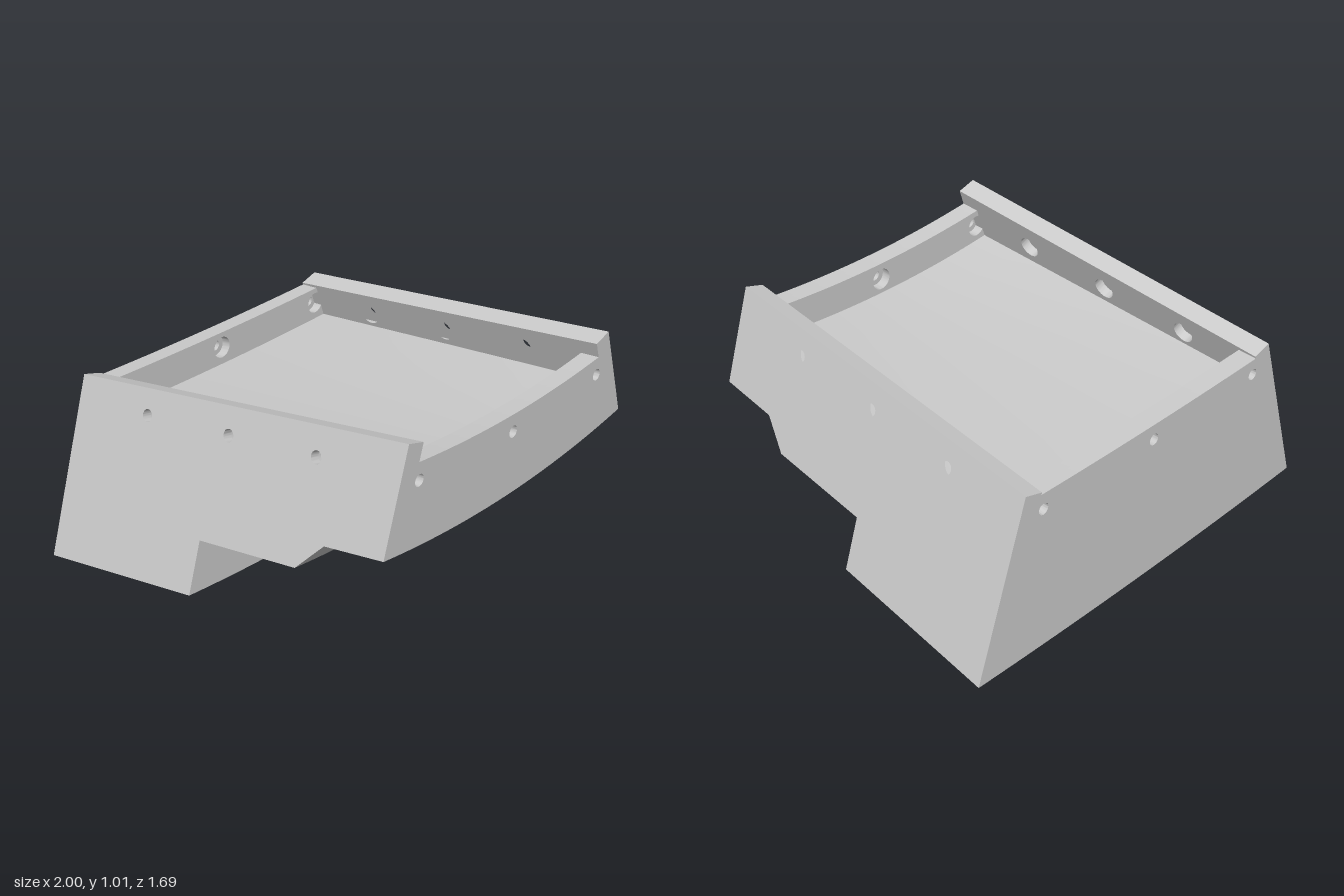
import * as THREE from 'three';
import { toCreasedNormals } from 'three/addons/utils/BufferGeometryUtils.js';

const END = 0.845;          // half length
const WALL = 0.088;         // wall thickness
const BORE = 0.044;         // depth of the wider inner bore
const N = 32;               // segments across a curved section
const lerp = THREE.MathUtils.lerp;
const along = (z, back, front) => lerp(back, front, (z + END) / (2 * END));

// Leaning side plane, crosswise curvature and height of the tray floor
const sideX = (y) => 1 - 0.3265 * (y - 0.02);
const bend = (z) => along(z, 0.02, 0.097);
const floorMid = (z) => along(z, 0.6, 0.72);

// Half width at which a curved section meets the side plane
function halfWidth(mid, k) {
  let x = 0.8;
  for (let i = 0; i < 12; i++) x = sideX(mid + k * x * x);
  return x;
}

function makeMesh(name, geometry, material) {
  const mesh = new THREE.Mesh(toCreasedNormals(geometry, 0.45), material);
  mesh.name = name;
  return mesh;
}

// Stepped body: closed sections lofted from back to front
function bodyGeometry() {
  const stations = [
    [-END, 0], [-0.045, 0.075], [-0.045, 0.31],
    [0.45, 0.355], [0.565, 0.48], [END, 0.51],
  ];
  const M = 2 * (N + 1);
  const pos = [], idx = [];
  for (const [z, bottom] of stations) {
    for (const [mid, dir] of [[bottom, 1], [floorMid(z), -1]]) {
      const w = halfWidth(mid, bend(z));
      for (let j = 0; j <= N; j++) {
        const x = dir * w * (2 * j / N - 1);
        pos.push(x, mid + bend(z) * x * x, z);
      }
    }
  }
  for (let i = 0; i < stations.length - 1; i++) {
    for (let j = 0; j < M; j++) {
      const a = i * M + j, b = i * M + (j + 1) % M;
      idx.push(a, b, b + M, a, b + M, a + M);
    }
  }
  const last = (stations.length - 1) * M;
  for (let j = 0; j < N; j++) {
    const p = j, q = j + 1, r = M - 2 - j, s = M - 1 - j;
    idx.push(last + p, last + q, last + r, last + p, last + r, last + s);
    idx.push(p, r, q, p, s, r);
  }
  const g = new THREE.BufferGeometry();
  g.setAttribute('position', new THREE.Float32BufferAttribute(pos, 3));
  g.setIndex(idx);
  g.computeVertexNormals();
  return g;
}

// Wall in two layers: narrow holes outside, wider bores inside.
// place(u, v, w) maps the flat panel to space; w runs from 0 inward to -WALL.
function wall(name, outline, holes, place, material) {
  const group = new THREE.Group();
  group.name = name;
  const layers = [
    ['outerLayer', 0.026, WALL - BORE, 0],
    ['boredInnerLayer', 0.05, BORE, -(WALL - BORE)],
  ];
  for (const [part, radius, depth, top] of layers) {
    const shape = new THREE.Shape(outline.map(([u, v]) => new THREE.Vector2(u, v)));
    for (const [u, v] of holes) {
      shape.holes.push(new THREE.Path().absarc(u, v, radius, 0, Math.PI * 2, true));
    }
    const g = new THREE.ExtrudeGeometry(shape, { depth, bevelEnabled: false, curveSegments: 24 });
    const p = g.attributes.position;
    for (let i = 0; i < p.count; i++) {
      p.setXYZ(i, ...place(p.getX(i), p.getY(i), p.getZ(i) + top - depth));
    }
    g.computeVertexNormals();
    group.add(makeMesh(part, g, material));
  }
  return group;
}

// Side wall with a sloping rim and three holes; s = +1 left, -1 right
function sideWall(s, rimFront, material) {
  const outline = [];
  for (let i = 0; i <= 8; i++) {
    const z = lerp(-END, END, i / 8);
    const x = halfWidth(floorMid(z), bend(z));
    outline.push([-s * z, floorMid(z) + bend(z) * x * x - 0.005]);
  }
  outline.push([-s * END, rimFront], [s * END, 0.8]);
  const holes = [-0.445, 0, 0.445].map((z) => [-s * z, 0.79 + 0.112 * z]);
  const place = (u, v, w) => [s * (sideX(v) + w), v + 0.3 * w, -s * u];
  return wall(s > 0 ? 'leftWall' : 'rightWall', outline, holes, place, material);
}

// End wall with a dished top edge; s = +1 front, -1 back
function endWall(s, topAt, holeX, holeDrop, material) {
  const z = s * END;
  const edge = (curve) => {
    let x = 0.7;
    for (let i = 0; i < 12; i++) x = sideX(curve(x)) - 0.03;
    return x;
  };
  const floorAt = (x) => floorMid(z) + bend(z) * x * x - 0.003;
  const outline = [];
  for (const [curve, dir] of [[floorAt, 1], [topAt, -1]]) {
    const w = edge(curve);
    for (let j = 0; j <= N; j++) {
      const u = dir * w * (2 * j / N - 1);
      outline.push([u, curve(s * u)]);
    }
  }
  const holes = [-holeX, 0, holeX].map((u) => [u, topAt(s * u) - holeDrop]);
  const place = (u, v, w) => [s * u, v + s * 0.071 * w, z + s * w];
  return wall(s > 0 ? 'frontWall' : 'backWall', outline, holes, place, material);
}

export function createModel() {
  const model = new THREE.Group();
  model.name = 'steppedTray';
  const material = new THREE.MeshStandardMaterial({ color: 0xcccccc });

  model.add(makeMesh('steppedBody', bodyGeometry(), material));
  model.add(sideWall(1, 0.99, material), sideWall(-1, 1.01, material));
  model.add(endWall(1, (x) => 0.868 + 0.09 * x * x - 0.012 * x, 0.61, 0.078, material));
  model.add(endWall(-1, (x) => 0.755 + 0.02 * x * x, 0.647, 0.073, material));
  return model;
}
